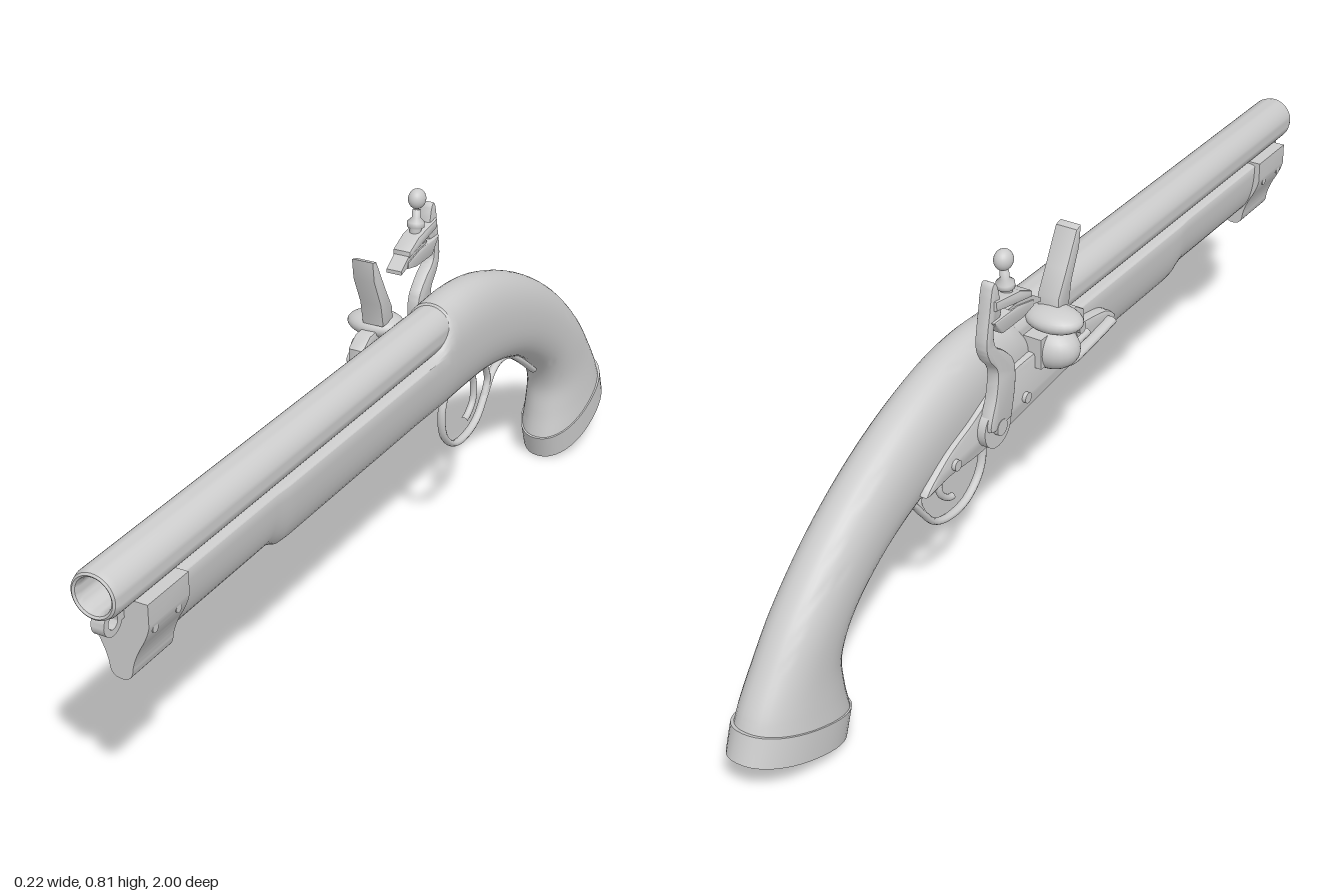
import * as THREE from 'three';
import { toCreasedNormals } from 'three/addons/utils/BufferGeometryUtils.js';

const CX = 0.035; // centre plane of barrel and stock
const mat = new THREE.MeshStandardMaterial({ color: 0xcccccc });
const V = (x, y, z) => new THREE.Vector3(x, y, z);

export function createModel() {
  const group = new THREE.Group();
  const add = (name, geo, x = 0, y = 0, z = 0) => {
    const m = new THREE.Mesh(geo, mat);
    m.name = name;
    m.position.set(x, y, z);
    group.add(m);
    return m;
  };

  // Side outline of [z, y] points, extruded from x0 towards -x
  const side = (name, pts, x0, width, { smooth = false, bevel = 0, hole } = {}) => {
    const s = new THREE.Shape();
    const p = pts.map(([z, y]) => new THREE.Vector2(z, y));
    if (smooth) s.setFromPoints(new THREE.SplineCurve([...p, p[0]]).getPoints(pts.length * 6).slice(0, -1));
    else s.setFromPoints(p);
    if (hole) s.holes.push(new THREE.Path().absarc(...hole, 0, Math.PI * 2, true));
    const g = new THREE.ExtrudeGeometry(s, {
      depth: width - 2 * bevel, curveSegments: 20, bevelEnabled: bevel > 0,
      bevelSize: bevel, bevelThickness: bevel, bevelOffset: -bevel, bevelSegments: 2,
    });
    g.translate(0, 0, bevel);
    g.rotateY(-Math.PI / 2);
    return add(name, toCreasedNormals(g, 0.6), x0);
  };

  // Round strip along [z, y] points, stretched sideways
  const strip = (name, pts, x, r, stretch = 1.3) => {
    const c = new THREE.CatmullRomCurve3(pts.map(([z, y]) => V(0, y, z)));
    const m = add(name, new THREE.TubeGeometry(c, 48, r, 10), x);
    m.scale.x = stretch;
    return m;
  };

  const ball = (name, x, y, z, rx, ry, rz) => {
    const m = add(name, new THREE.SphereGeometry(1, 24, 16), x, y, z);
    m.scale.set(rx, ry, rz);
    return m;
  };

  const pin = (name, r, length, x, y, z) => {
    const m = add(name, new THREE.CylinderGeometry(r, r, length, 24), x, y, z);
    m.rotation.z = Math.PI / 2;
    return m;
  };

  // Skin over sections {top, bot, hw, m}; m sets the height of the widest line
  const loft = (name, sections, crease = 0.6) => {
    const N = 40, pos = [], idx = [];
    for (const { top, bot, hw, m } of sections) {
      const c = bot.clone().lerp(top, m);
      for (let j = 0; j < N; j++) {
        const a = (j / N) * Math.PI * 2, s = Math.sin(a), k = Math.cos(a);
        const p = c.clone().lerp(s > 0 ? top : bot, Math.abs(s) ** 0.9);
        pos.push(CX + hw * Math.sign(k) * Math.abs(k) ** 0.9, p.y, p.z);
      }
    }
    const last = (sections.length - 1) * N;
    for (let i = 0; i < last; i += N) for (let j = 0; j < N; j++) {
      const k = (j + 1) % N;
      idx.push(i + j, i + N + j, i + k, i + k, i + N + j, i + N + k);
    }
    for (let j = 1; j < N - 1; j++) idx.push(0, j, j + 1, last, last + j + 1, last + j);
    const g = new THREE.BufferGeometry();
    g.setAttribute('position', new THREE.Float32BufferAttribute(pos, 3));
    g.setIndex(idx);
    g.computeVertexNormals();
    return add(name, toCreasedNormals(g, crease));
  };

  // Barrel with a hollow muzzle
  const barrel = new THREE.LatheGeometry([
    [0, -0.2], [0.0475, -0.2], [0.0475, 0.985], [0.044, 0.997], [0.04, 1],
    [0.036, 0.997], [0.033, 0.985], [0.033, 0.8], [0, 0.8],
  ].map(([r, h]) => new THREE.Vector2(r, h)), 40);
  barrel.rotateX(Math.PI / 2);
  add('barrel', toCreasedNormals(barrel, 0.6), CX, 0.565);

  // Stock: straight fore-end [z, top, bottom, half width, widest line]
  const fore = [
    [0.82, 0.53, 0.405, 0.049, 0.95], [0.51, 0.53, 0.405, 0.049, 0.95],
    [0.49, 0.53, 0.398, 0.05, 0.95], [0.47, 0.53, 0.388, 0.051, 0.95],
    [0.44, 0.53, 0.385, 0.051, 0.95], [-0.06, 0.53, 0.383, 0.053, 0.95],
    [-0.1, 0.535, 0.383, 0.055, 0.92], [-0.13, 0.55, 0.383, 0.057, 0.85],
    [-0.15, 0.585, 0.383, 0.059, 0.72],
  ].map(([z, t, b, hw, m]) => ({ top: V(0, t, z), bot: V(0, b, z), hw, m }));
  // Curved grip [top z, top y, bottom z, bottom y, half width]
  const grip = [
    [-0.17, 0.617, -0.17, 0.383, 0.06], [-0.27, 0.62, -0.27, 0.385, 0.061],
    [-0.38, 0.604, -0.37, 0.383, 0.062], [-0.555, 0.54, -0.5, 0.358, 0.062],
    [-0.716, 0.444, -0.61, 0.31, 0.061], [-0.85, 0.326, -0.69, 0.25, 0.061],
    [-0.925, 0.235, -0.724, 0.185, 0.062], [-0.96, 0.185, -0.722, 0.12, 0.067],
    [-0.975, 0.155, -0.712, 0.06, 0.072],
  ];
  const topLine = new THREE.CatmullRomCurve3(grip.map((g) => V(g[4], g[1], g[0])), false, 'centripetal');
  const botLine = new THREE.CatmullRomCurve3(grip.map((g) => V(0, g[3], g[2])), false, 'centripetal');
  for (let i = 0; i <= 40; i++) {
    const top = topLine.getPoint(i / 40), hw = top.x;
    top.x = 0;
    fore.push({ top, bot: botLine.getPoint(i / 40), hw, m: 0.6 - 0.1 * Math.min(1, i / 15) });
  }
  loft('stock', fore, 0.7);
  loft('buttCap', [
    { top: V(0, 0.162, -0.981), bot: V(0, 0.06, -0.708), hw: 0.075, m: 0.5 },
    { top: V(0, 0.107, -1), bot: V(0, 0.004, -0.728), hw: 0.075, m: 0.5 },
  ]);

  // Nose cap with a narrow rounded keel
  const nose = new THREE.Shape();
  nose.moveTo(-0.061, 0.533);
  nose.lineTo(-0.061, 0.49);
  nose.quadraticCurveTo(-0.058, 0.47, -0.04, 0.44);
  nose.quadraticCurveTo(-0.025, 0.41, -0.023, 0.39);
  nose.quadraticCurveTo(-0.02, 0.37, 0, 0.37);
  nose.quadraticCurveTo(0.02, 0.37, 0.023, 0.39);
  nose.quadraticCurveTo(0.025, 0.41, 0.04, 0.44);
  nose.quadraticCurveTo(0.058, 0.47, 0.061, 0.49);
  nose.lineTo(0.061, 0.533);
  add('noseCap', toCreasedNormals(new THREE.ExtrudeGeometry(nose, { depth: 0.12, bevelEnabled: false }), 0.6), CX, 0, 0.815);
  for (const z of [0.914, 0.845]) pin('noseCapPin', 0.008, 0.119, CX, 0.477, z);

  // Ring under the muzzle
  const ring = [];
  for (let i = 0; i < 24; i++) {
    const a = (i / 24) * Math.PI * 2;
    ring.push([0.966 + 0.026 * Math.cos(a), 0.503 + 0.026 * Math.sin(a)]);
  }
  side('muzzleRing', ring, 0.048, 0.026, { hole: [0.966, 0.503, 0.013] });
  add('ringStem', new THREE.BoxGeometry(0.026, 0.02, 0.025), CX, 0.505, 0.94);

  // Trigger and guard
  strip('triggerGuard', [[-0.24, 0.39], [-0.223, 0.34], [-0.235, 0.285], [-0.28, 0.246], [-0.335, 0.239],
    [-0.39, 0.256], [-0.43, 0.3], [-0.46, 0.336], [-0.49, 0.35], [-0.54, 0.345], [-0.6, 0.31], [-0.68, 0.25]], CX, 0.007);
  strip('guardBack', [[-0.425, 0.295], [-0.44, 0.33], [-0.43, 0.36], [-0.405, 0.39]], CX, 0.006);
  strip('trigger', [[-0.35, 0.4], [-0.372, 0.35], [-0.37, 0.31], [-0.345, 0.285], [-0.33, 0.28]], CX, 0.007, 1.1);

  // Lock plate on the right side
  side('lockPlate', [[0.165, 0.465], [0.12, 0.495], [0, 0.515], [-0.15, 0.53], [-0.27, 0.52], [-0.36, 0.485],
    [-0.44, 0.455], [-0.51, 0.405], [-0.43, 0.41], [-0.33, 0.405], [-0.2, 0.415], [-0.05, 0.43], [0.1, 0.442]],
    0.01, 0.048, { smooth: true, bevel: 0.006 });
  for (const [z, y] of [[0.12, 0.468], [-0.18, 0.45], [-0.42, 0.43]]) pin('lockScrew', 0.011, 0.02, -0.036, y, z);
  strip('frizzenSpring', [[0.13, 0.472], [0.05, 0.462], [-0.03, 0.457], [-0.055, 0.47], [-0.03, 0.487], [0.03, 0.495]], -0.045, 0.009, 1.5);

  // Flash pan: bowl, cover and hinge
  ball('flashPan', -0.045, 0.525, -0.095, 0.06, 0.045, 0.047);
  add('panBlock', new THREE.BoxGeometry(0.055, 0.065, 0.1), -0.025, 0.53, -0.095);
  ball('panCover', -0.05, 0.587, -0.095, 0.062, 0.025, 0.045);
  side('frizzenToe', [[-0.09, 0.59], [-0.03, 0.585], [0, 0.565], [0, 0.515], [-0.025, 0.51], [-0.04, 0.55], [-0.09, 0.56]],
    -0.028, 0.034, { bevel: 0.004 });
  pin('hingeScrew', 0.012, 0.05, -0.045, 0.535, -0.02);

  // Frizzen, leaning forward
  side('frizzen', [[-0.012, 0.754], [-0.028, 0.75], [-0.065, 0.68], [-0.093, 0.63], [-0.095, 0.6], [-0.055, 0.6],
    [-0.045, 0.65], [-0.018, 0.71]], -0.012, 0.048, { bevel: 0.003 });

  // Cock: hub, curved neck, jaws with flint, and ball-topped screw
  pin('cockHub', 0.045, 0.03, -0.04, 0.455, -0.3);
  pin('cockScrew', 0.017, 0.012, -0.059, 0.455, -0.3);
  side('cockNeck', [[-0.265, 0.46], [-0.25, 0.53], [-0.255, 0.58], [-0.285, 0.615], [-0.315, 0.64], [-0.318, 0.68],
    [-0.295, 0.7], [-0.305, 0.76], [-0.322, 0.765], [-0.335, 0.71], [-0.345, 0.65], [-0.335, 0.615], [-0.31, 0.58],
    [-0.315, 0.53], [-0.335, 0.46]], -0.036, 0.028, { smooth: true, bevel: 0.005 });
  side('lowerJaw', [[-0.33, 0.695], [-0.3, 0.66], [-0.23, 0.66], [-0.195, 0.668], [-0.195, 0.682], [-0.25, 0.695]],
    -0.03, 0.04, { bevel: 0.004 });
  side('flint', [[-0.28, 0.7], [-0.26, 0.688], [-0.168, 0.664], [-0.168, 0.672], [-0.21, 0.7]], -0.033, 0.034);
  side('upperJaw', [[-0.32, 0.735], [-0.32, 0.715], [-0.25, 0.7], [-0.2, 0.69], [-0.2, 0.703], [-0.24, 0.722]],
    -0.03, 0.04, { bevel: 0.004 });
  const screw = new THREE.LatheGeometry([
    [0, 0], [0.013, 0], [0.012, 0.04], [0.018, 0.045], [0.018, 0.055], [0.009, 0.064], [0.009, 0.08], [0, 0.08],
  ].map(([r, h]) => new THREE.Vector2(r, h)), 24);
  add('jawScrew', screw, -0.05, 0.69, -0.255).rotation.x = -0.12;
  ball('jawScrewBall', -0.05, 0.793, -0.266, 0.018, 0.021, 0.021);

  return group;
}
